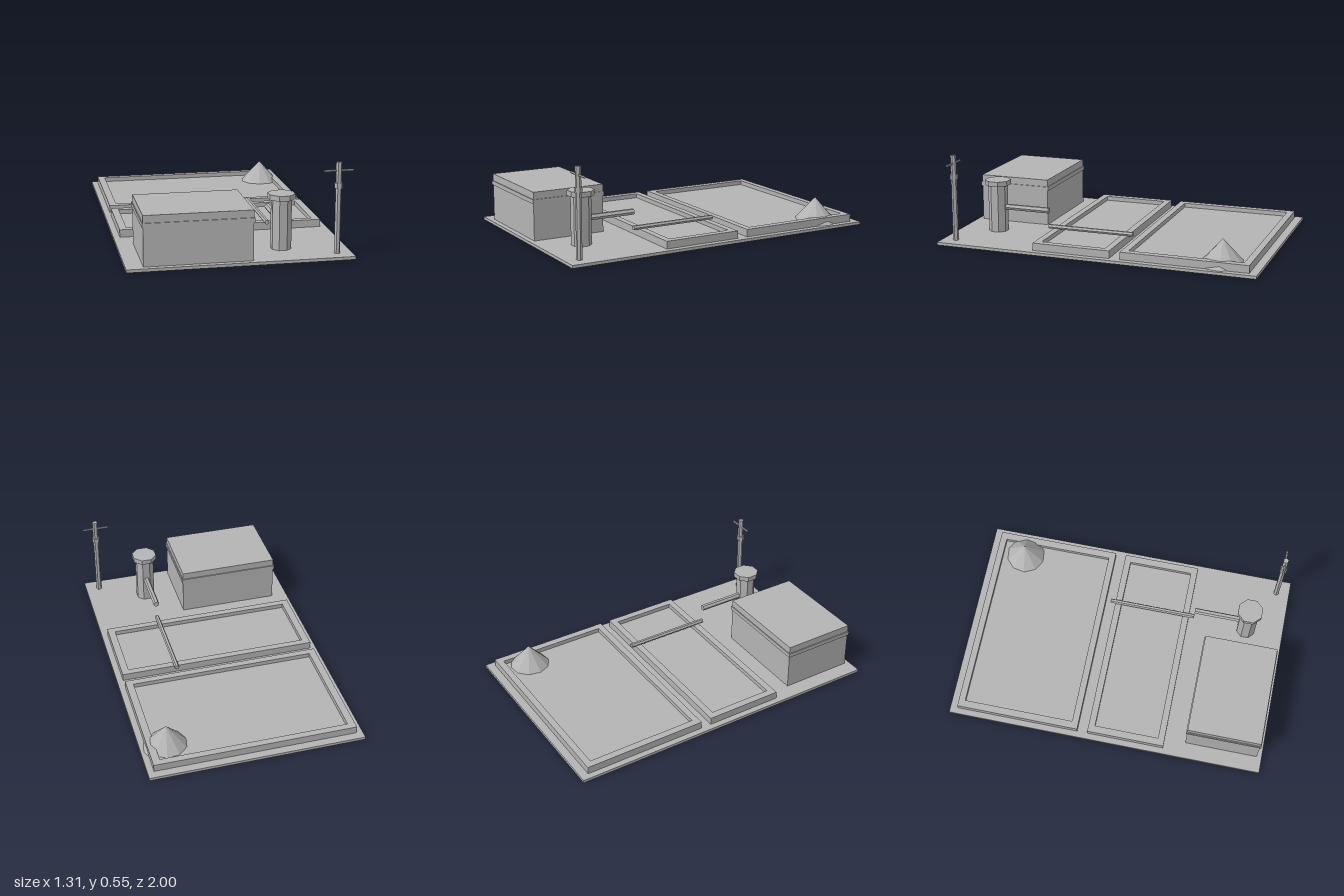
import * as THREE from 'three';

const grey = new THREE.MeshStandardMaterial({ color: 0xb4b4b4 });
grey.name = 'plain grey';

// Adds a mesh with flat facets
function add(parent, name, geometry, x = 0, y = 0, z = 0) {
  const g = geometry.index ? geometry.toNonIndexed() : geometry;
  g.computeVertexNormals();
  const mesh = new THREE.Mesh(g, grey);
  mesh.name = name;
  mesh.position.set(x, y, z);
  parent.add(mesh);
  return mesh;
}

// Box given by its limits
function block(parent, name, x0, x1, y0, y1, z0, z1) {
  const g = new THREE.BoxGeometry(x1 - x0, y1 - y0, z1 - z0);
  return add(parent, name, g, (x0 + x1) / 2, (y0 + y1) / 2, (z0 + z1) / 2);
}

// Upright prism standing between two heights
function prism(parent, name, radius, sides, y0, y1, x, z, turn = Math.PI / sides) {
  const g = new THREE.CylinderGeometry(radius, radius, y1 - y0, sides).rotateY(turn);
  return add(parent, name, g, x, (y0 + y1) / 2, z);
}

// Hexagonal pipe running along z
function pipe(parent, name, radius, x, y, z0, z1) {
  const g = new THREE.CylinderGeometry(radius, radius, z1 - z0, 6)
    .rotateY(Math.PI / 6).rotateX(Math.PI / 2);
  return add(parent, name, g, x, y, (z0 + z1) / 2);
}

function rectangle(target, hx, hz) {
  target.moveTo(-hx, -hz);
  target.lineTo(hx, -hz);
  target.lineTo(hx, hz);
  target.lineTo(-hx, hz);
  target.closePath();
  return target;
}

const GROUND = 0.018;

// Shallow walled basin with a raised floor
function basin(name, z0, z1) {
  const group = new THREE.Group();
  group.name = name;
  const hx = 0.617, hz = (z1 - z0) / 2, wall = 0.045, zc = (z0 + z1) / 2;
  const shape = rectangle(new THREE.Shape(), hx, hz);
  shape.holes.push(rectangle(new THREE.Path(), hx - wall, hz - wall + 0.004));
  const rim = new THREE.ExtrudeGeometry(shape, { depth: 0.064 - GROUND, bevelEnabled: false })
    .rotateX(-Math.PI / 2);
  add(group, 'basinWall', rim, 0, GROUND, zc);
  block(group, 'basinFloor', -hx + wall, hx - wall, GROUND, 0.037, z0 + wall - 0.004, z1 - wall + 0.004);
  return group;
}

export function createModel() {
  const model = new THREE.Group();
  model.name = 'settlingWorks';

  block(model, 'basePlate', -0.655, 0.655, 0, GROUND, -1, 1);
  model.add(basin('largeBasin', -0.95, -0.173));
  model.add(basin('smallBasin', -0.107, 0.38));

  // Building with a projecting band
  block(model, 'building', -0.555, 0.069, GROUND, 0.313, 0.512, 0.968);
  block(model, 'buildingBand', -0.561, 0.075, 0.243, 0.269, 0.506, 0.974);

  // Octagonal tower with cap and outlet
  prism(model, 'tower', 0.061, 8, GROUND, 0.315, 0.275, 0.76);
  prism(model, 'towerCap', 0.081, 8, 0.315, 0.346, 0.275, 0.76);
  pipe(model, 'towerOutlet', 0.019, 0.275, 0.174, 0.415, 0.72);
  pipe(model, 'basinPipe', 0.0145, 0.275, 0.073, -0.138, 0.415);

  // Pile heaped in the basin corner, spilling past the wall
  const height = 0.173 - GROUND;
  const pile = new THREE.ConeGeometry(0.141, height, 10).rotateY(THREE.MathUtils.degToRad(97));
  add(model, 'pile', pile, 0.497, GROUND + height / 2, -0.762);

  // Pole with collar and crossarm
  prism(model, 'pole', 0.0175, 6, GROUND, 0.552, 0.567, 0.915);
  prism(model, 'poleCollar', 0.0245, 6, 0.4, 0.432, 0.567, 0.915);
  const arm = new THREE.CylinderGeometry(0.007, 0.007, 0.17, 6).rotateZ(Math.PI / 2);
  add(model, 'crossarm', arm, 0.567, 0.502, 0.915);

  return model;
}
